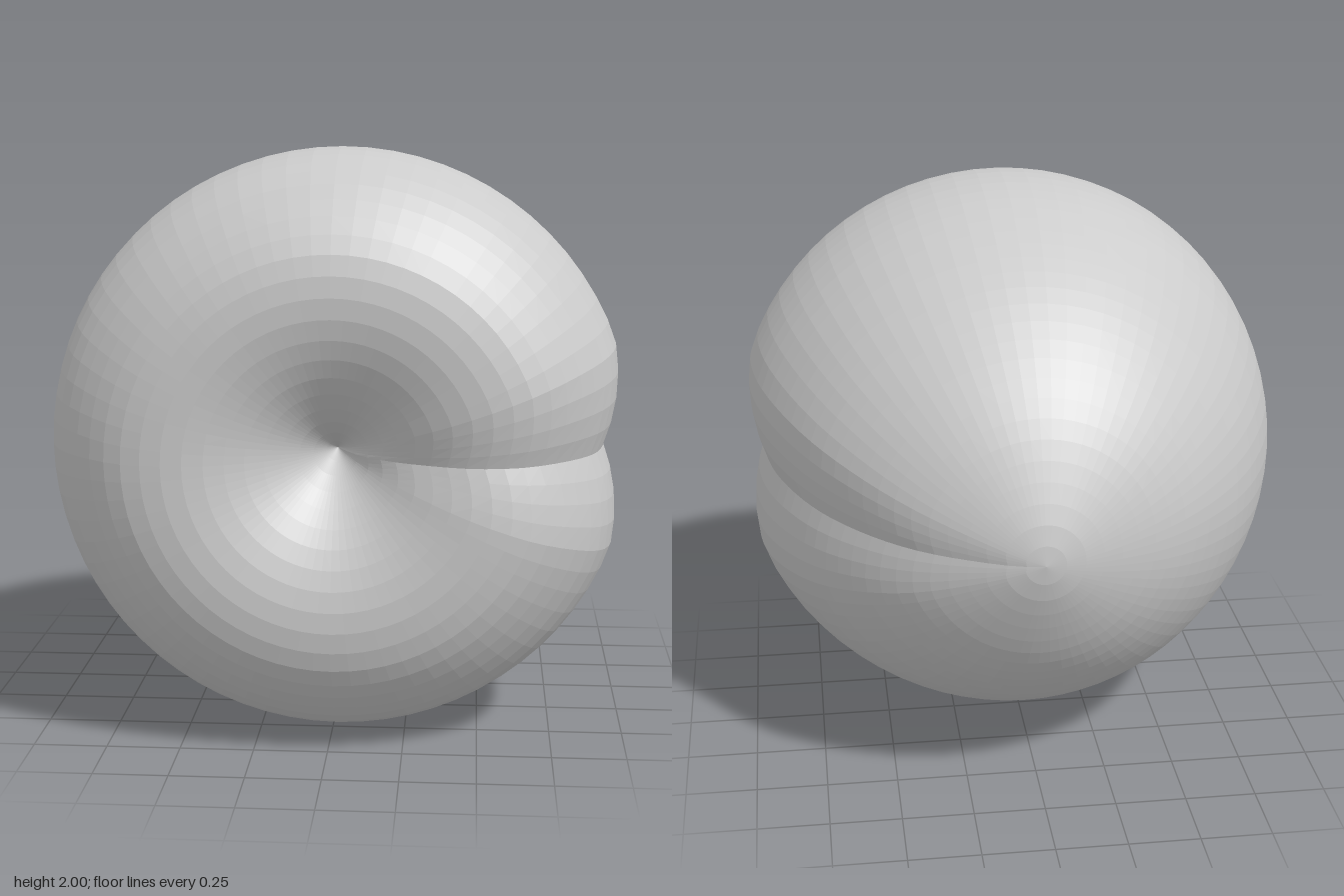
import * as THREE from 'three';

const AXIS_X = 0.02;

// Half profile as (radius, z), from the rounded back tip over the belly and into the front dimple
const PROFILE = [
  [0, -0.88], [0.1, -0.865], [0.27, -0.8], [0.44, -0.71], [0.6, -0.58], [0.77, -0.38],
  [0.89, -0.16], [0.97, 0.07], [1, 0.3], [0.985, 0.48], [0.93, 0.63], [0.82, 0.76],
  [0.69, 0.85], [0.55, 0.88], [0.43, 0.868], [0.3, 0.82], [0.19, 0.75], [0.1, 0.67],
  [0.04, 0.59], [0, 0.52],
];

// Depth of the seam (0..1) at an angle away from the +x side
const seam = (angle) => Math.pow(Math.max(0, 1 - Math.abs(angle) / 0.38), 1.35);

export function createModel() {
  const group = new THREE.Group();
  group.name = 'fruit';

  const curve = new THREE.CatmullRomCurve3(PROFILE.map(([r, z]) => new THREE.Vector3(r, z, 0)));
  const points = curve.getSpacedPoints(46).map((p) => new THREE.Vector2(Math.max(0, p.x), p.y));
  const geometry = new THREE.LatheGeometry(points, 72);
  geometry.rotateX(Math.PI / 2); // lay the axis along z

  // Press the seam into the +x side, running from the dimple to the back tip
  const pos = geometry.attributes.position;
  for (let i = 0; i < pos.count; i++) {
    const x = pos.getX(i), y = pos.getY(i), z = pos.getZ(i);
    const r = Math.hypot(x, y);
    const g = r > 1e-5 ? seam(Math.atan2(y, x)) : 0;
    const scale = 1 - 0.1 * g;
    const front = THREE.MathUtils.smoothstep(z, 0.4, 0.85) * THREE.MathUtils.smoothstep(r, 0, 0.4);
    pos.setXYZ(i, x * scale + AXIS_X, y * scale + 1, z - 0.04 * g * front);
  }
  geometry.computeVertexNormals();

  const body = new THREE.Mesh(
    geometry,
    new THREE.MeshStandardMaterial({ color: 0xcccccc, flatShading: true }),
  );
  body.name = 'fruitBody';
  group.add(body);
  return group;
}
